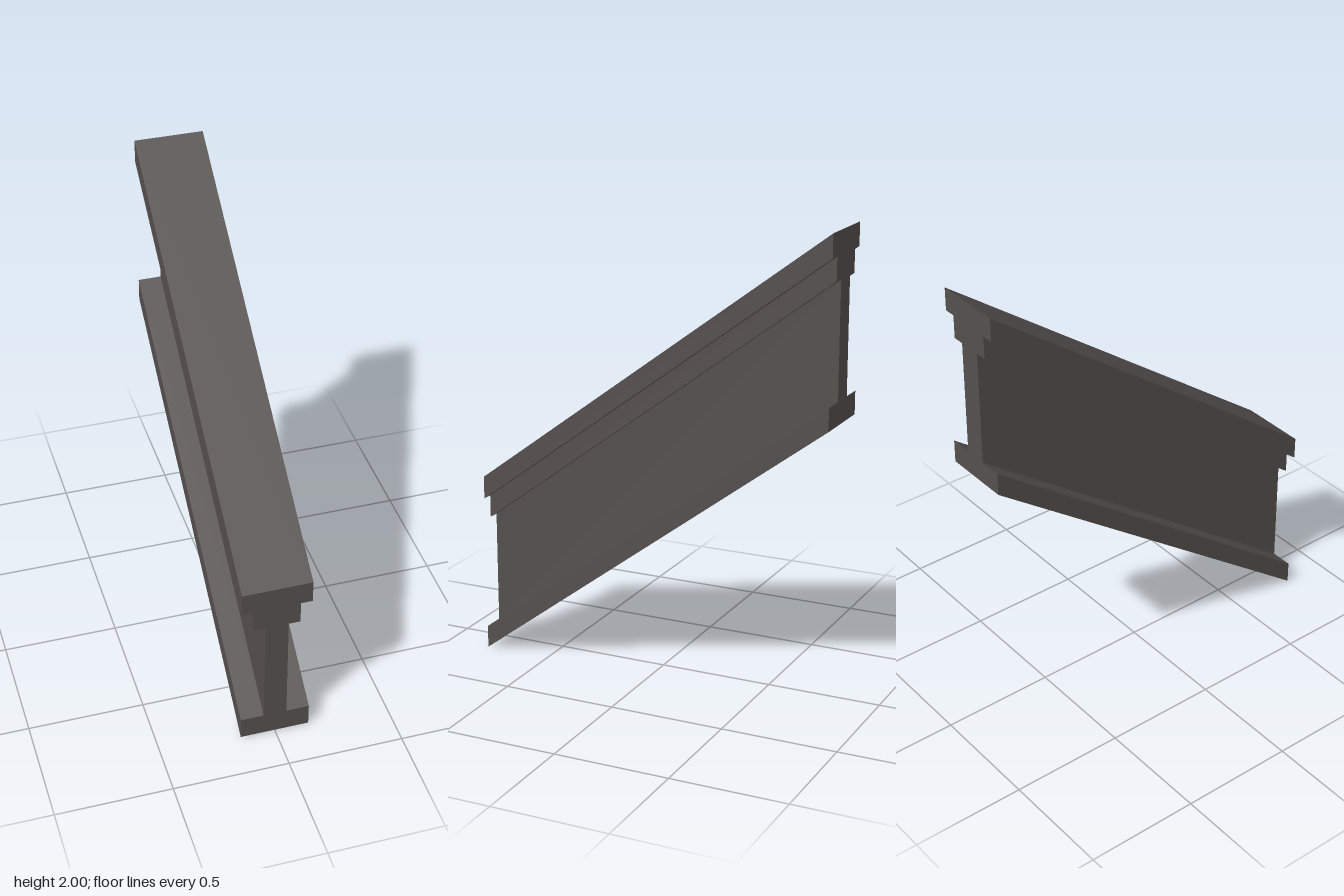
import * as THREE from 'three';

export function createModel() {
  const group = new THREE.Group();
  group.name = 'slopedRail';
  const darkStone = new THREE.MeshStandardMaterial({ color: 0x55504e });
  darkStone.name = 'darkStone';

  // Right half of the rail section, mirrored to close the outline
  const half = [
    [0.15, 0], [0.15, 0.1], [0.05, 0.1], [0.05, 0.6],
    [0.1, 0.6], [0.1, 0.7], [0.15, 0.7], [0.15, 0.8],
  ];
  const mirrored = half.map(([x, y]) => [-x, y]).reverse();
  const section = new THREE.Shape([...half, ...mirrored].map(([x, y]) => new THREE.Vector2(x, y)));

  // Run the section front to back, then shear it so the ends stay upright
  const length = 1.6, slope = 0.75;
  const geometry = new THREE.ExtrudeGeometry(section, { depth: length, bevelEnabled: false });
  geometry.translate(0, 0, -length / 2);
  const pos = geometry.attributes.position;
  for (let i = 0; i < pos.count; i++) {
    pos.setY(i, pos.getY(i) + (length / 2 - pos.getZ(i)) * slope);
  }
  geometry.computeVertexNormals();

  const rail = new THREE.Mesh(geometry, darkStone);
  rail.name = 'railBeam';
  group.add(rail);
  return group;
}
